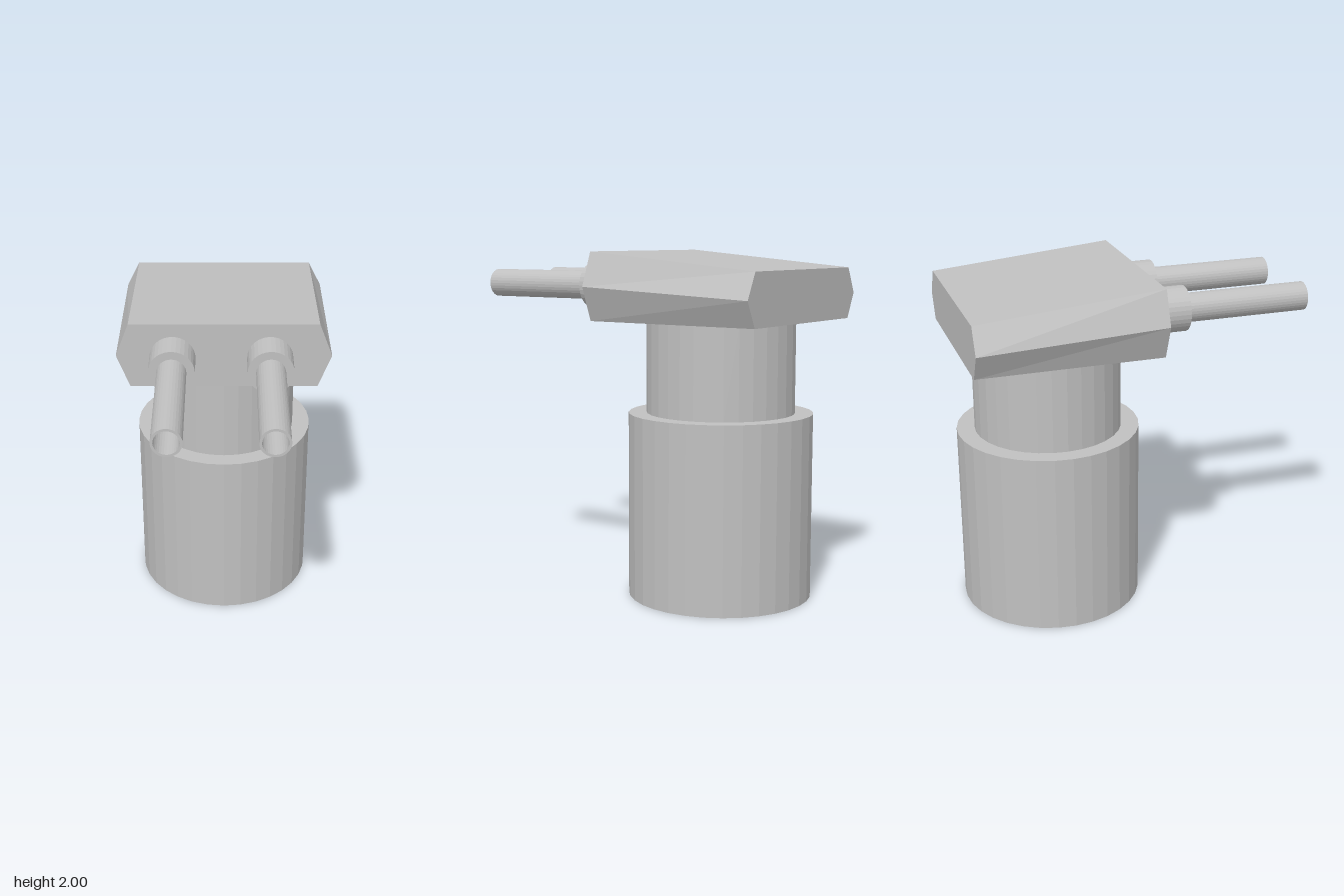
import * as THREE from 'three';

const SEGMENTS = 32;
const AXIS_Z = -0.465;

const grey = new THREE.MeshStandardMaterial({ color: 0xc0c0c0, flatShading: true });
grey.name = 'light grey';

function addPart(parent, name, geometry) {
  const mesh = new THREE.Mesh(geometry, grey);
  mesh.name = name;
  parent.add(mesh);
  return mesh;
}

// Solid upright cylinder between two heights
function upright(radius, y0, y1) {
  return new THREE.CylinderGeometry(radius, radius, y1 - y0, SEGMENTS)
    .translate(0, (y0 + y1) / 2, AXIS_Z);
}

// Ring with a hole through it, running forward along z
function sleeve(inner, outer, z0, z1, closedBack) {
  const profile = [[outer, z0], [outer, z1], [inner, z1], [inner, z0]];
  if (closedBack) profile.push([outer, z0]);
  const points = profile.map(([r, z]) => new THREE.Vector2(r, z));
  return new THREE.LatheGeometry(points, SEGMENTS).rotateX(Math.PI / 2);
}

// Six-sided head cross-section, counter-clockwise from the front
function headSection(z, middle, top) {
  return [
    [-0.535, 1.61, z], [0.535, 1.61, z], [0.61, middle, z],
    [0.535, top, z], [-0.535, top, z], [-0.61, middle, z],
  ];
}

// Wedge-shaped head lofted between its front and back sections
function headGeometry() {
  const front = headSection(0.07, 1.805, 2.0);
  const back = headSection(-1, 1.757, 1.905);
  const n = front.length;
  const index = [];
  for (let i = 0; i < n; i++) {
    const j = (i + 1) % n;
    index.push(i, n + i, n + j, i, n + j, j);
  }
  for (let i = 1; i < n - 1; i++) {
    index.push(0, i, i + 1, n, n + i + 1, n + i);
  }
  const indexed = new THREE.BufferGeometry();
  indexed.setAttribute('position', new THREE.Float32BufferAttribute([...front, ...back].flat(), 3));
  indexed.setIndex(index);
  const geometry = indexed.toNonIndexed();
  geometry.computeVertexNormals();
  return geometry;
}

export function createModel() {
  const model = new THREE.Group();
  model.name = 'valveUnit';

  addPart(model, 'body', upright(0.535, 0, 1.075));
  addPart(model, 'neck', upright(0.43, 1.075, 1.61));
  addPart(model, 'head', headGeometry());

  // Two hollow pipes with collars on the front of the head
  for (const [side, x] of [['right', -0.29], ['left', 0.26]]) {
    const port = new THREE.Group();
    port.name = side + 'Port';
    port.position.set(x, 1.8, 0);
    addPart(port, 'pipe', sleeve(0.069, 0.083, 0.07, 1, false));
    addPart(port, 'collar', sleeve(0.083, 0.13, 0.085, 0.265, true));
    model.add(port);
  }
  return model;
}
